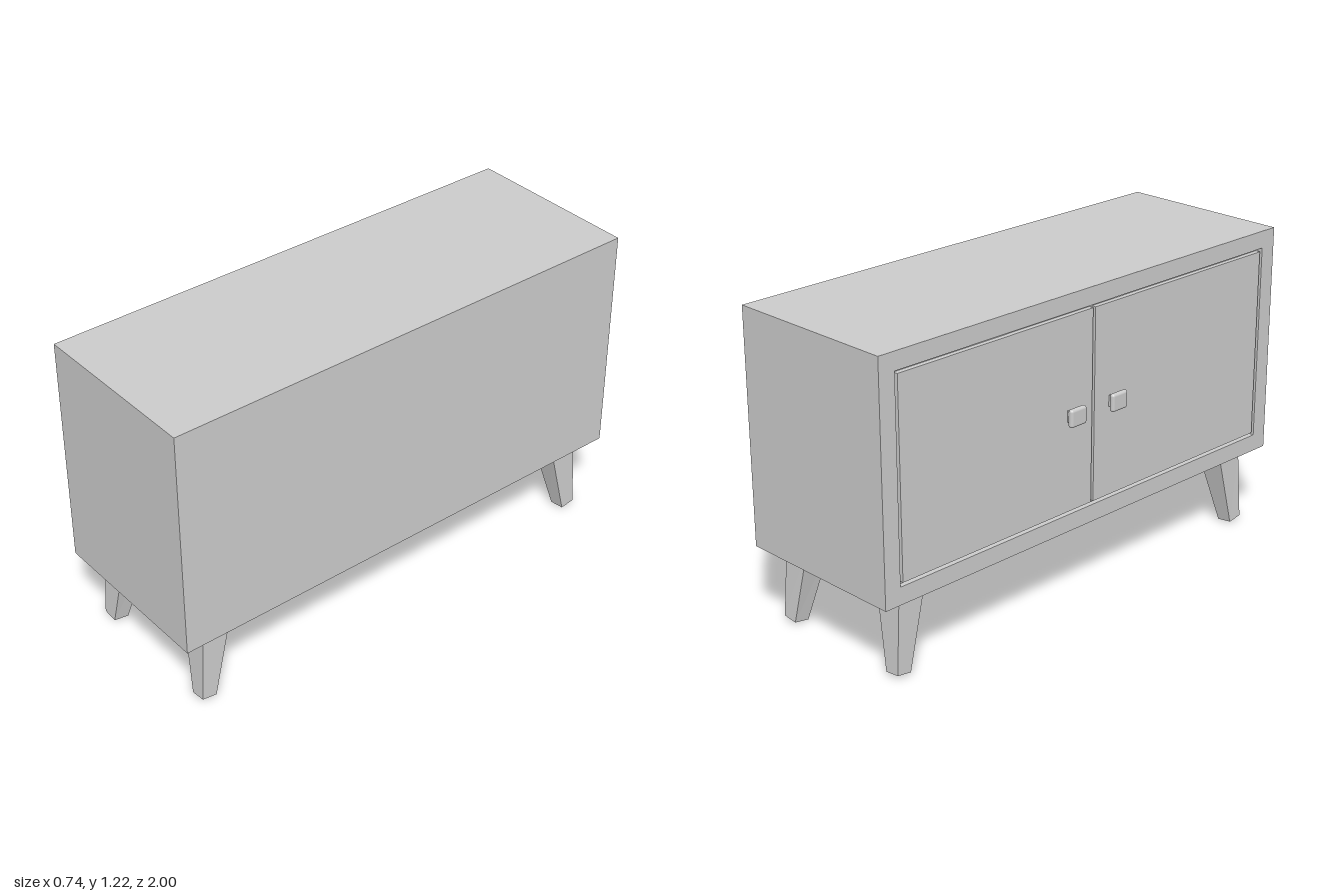
import * as THREE from 'three';
import { RoundedBoxGeometry } from 'three/addons/geometries/RoundedBoxGeometry.js';

const material = new THREE.MeshStandardMaterial({ color: 0xcccccc });

const FRONT = -0.335, BACK = 0.37;      // the door side faces -x
const BOTTOM = 0.31, TOP = 1.22;
const RIM = 0.068, GAP = 0.012, RECESS = 0.02;

function add(parent, name, geometry, x = 0, y = 0, z = 0) {
  const mesh = new THREE.Mesh(geometry, material);
  mesh.name = name;
  mesh.position.set(x, y, z);
  parent.add(mesh);
  return mesh;
}

function rectangle(PathType, u0, v0, u1, v1) {
  return new PathType([[u0, v0], [u1, v0], [u1, v1], [u0, v1]].map(p => new THREE.Vector2(...p)));
}

// Tapered, splayed square leg; sx and sz point outwards from the cabinet
function legGeometry(sx, sz) {
  const geo = new THREE.BoxGeometry(1, 1, 1).toNonIndexed();
  const pos = geo.attributes.position;
  for (let i = 0; i < pos.count; i++) {
    const outX = pos.getX(i) * sx > 0, outZ = pos.getZ(i) * sz > 0;
    const upper = pos.getY(i) > 0;
    const x = upper ? (outX ? 0.305 : 0.19) : (outX ? 0.311 : 0.251);
    const z = upper ? (outZ ? 0.9 : 0.785) : (outZ ? 0.92 : 0.86);
    const y = upper ? BOTTOM : (outX ? 0.007 : 0) + (outZ ? 0.009 : 0);
    pos.setXYZ(i, (BACK + FRONT) / 2 + sx * x, y, sz * z);
  }
  geo.computeVertexNormals();
  return geo;
}

export function createModel() {
  const group = new THREE.Group();
  group.name = 'sideboard';

  // Carcass: a rectangular shell open towards the doors
  const shape = rectangle(THREE.Shape, -1, BOTTOM, 1, TOP);
  shape.holes.push(rectangle(THREE.Path, -1 + RIM, BOTTOM + RIM, 1 - RIM, TOP - RIM));
  const shell = new THREE.ExtrudeGeometry(shape, { depth: BACK - FRONT, bevelEnabled: false });
  shell.rotateY(-Math.PI / 2);
  add(group, 'carcass', shell, BACK);

  // Solid core behind the doors, closing the back
  const midY = (TOP + BOTTOM) / 2;
  const openH = TOP - BOTTOM - 2 * RIM, openW = 2 - 2 * RIM;
  const coreD = BACK - FRONT - RECESS;
  add(group, 'core', new THREE.BoxGeometry(coreD, openH, openW), BACK - coreD / 2, midY, 0);

  for (const side of [-1, 1]) {
    // Door with a thin gap all round, and its knob
    const doorW = openW / 2 - 1.5 * GAP;
    const door = new THREE.Group();
    door.name = side > 0 ? 'doorFrontSide' : 'doorBackSide';
    add(door, 'doorPanel', new THREE.BoxGeometry(RECESS, openH - 2 * GAP, doorW),
      FRONT + RECESS / 2 + 0.001, midY, side * (GAP / 2 + doorW / 2));
    add(door, 'knobStem', new THREE.BoxGeometry(0.024, 0.044, 0.05), FRONT - 0.008, 0.764, side * 0.107);
    add(door, 'knobHead', new RoundedBoxGeometry(0.022, 0.07, 0.08, 4, 0.0105), -0.359, 0.764, side * 0.107);
    group.add(door);

    for (const sx of [-1, 1]) add(group, 'leg', legGeometry(sx, side));
  }
  return group;
}
